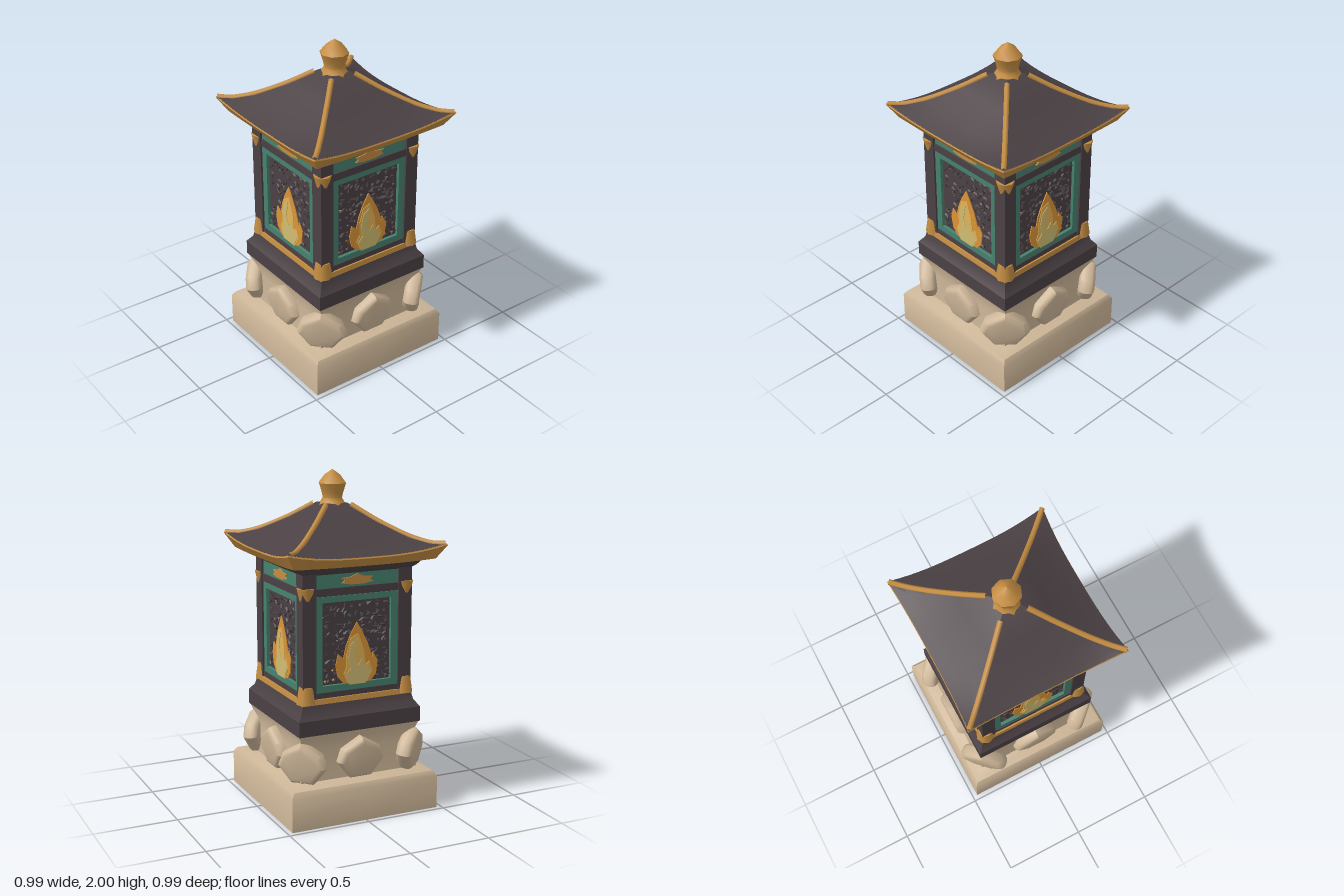
import * as THREE from 'three';
import { mergeGeometries, toCreasedNormals } from 'three/addons/utils/BufferGeometryUtils.js';

const mat = (name, color, side = THREE.FrontSide) => {
  const m = new THREE.MeshStandardMaterial({ color, side });
  m.name = name;
  return m;
};

export function createModel() {
  const stone = mat('stone', 0xcdb698);
  const dark = mat('dark wood', 0x4b4144, THREE.DoubleSide);
  const gold = mat('gold', 0xc48d42);
  const teal = mat('teal', 0x478270);
  const amber = mat('flame amber', 0xdc9538);
  const yellow = mat('flame yellow', 0xe3b55a);
  const pale = mat('flame pale', 0xd2bd72);

  const root = new THREE.Group();
  root.name = 'lantern';
  const add = (parent, name, geo, m, x = 0, y = 0, z = 0) => {
    const mesh = new THREE.Mesh(geo, m);
    mesh.name = name;
    mesh.position.set(x, y, z);
    parent.add(mesh);
    return mesh;
  };
  let seed = 7;
  const rnd = () => (seed = (seed * 16807) % 2147483647) / 2147483647;

  // Square loft; rows run bottom to top: [half width, y, corner flare, corner lift]
  const loft = (rows, n = 2, crease = 0.6) => {
    const sides = [];
    for (let k = 0; k < 4; k++) {
      const pos = [], idx = [];
      for (const [half, y, flare = 0, lift = 0] of rows) {
        for (let i = 0; i <= n; i++) {
          const u = (2 * i) / n - 1, c = Math.abs(u) ** 3, h = half + flare * c;
          pos.push(u * h, y + lift * c, h);
        }
      }
      for (let r = 0; r < rows.length - 1; r++) {
        for (let i = 0; i < n; i++) {
          const a = r * (n + 1) + i, d = a + n + 1;
          idx.push(a, a + 1, d + 1, a, d + 1, d);
        }
      }
      const g = new THREE.BufferGeometry();
      g.setAttribute('position', new THREE.Float32BufferAttribute(pos, 3));
      g.setIndex(idx);
      g.rotateY((k * Math.PI) / 2);
      g.computeVertexNormals();
      sides.push(g);
    }
    return toCreasedNormals(mergeGeometries(sides), crease);
  };
  const shapeOf = (pts) => new THREE.Shape(pts.map(([x, y]) => new THREE.Vector2(x, y)));
  const rect = (w, y0, y1) => [[-w, y0], [w, y0], [w, y1], [-w, y1]];
  const plate = (shape, depth) => new THREE.ExtrudeGeometry(shape, { depth, bevelEnabled: false });

  // Stone pedestal
  add(root, 'stoneBase', loft([[0, 0], [0.47, 0], [0.47, 0.2], [0.45, 0.23], [0.38, 0.25]]), stone);
  add(root, 'stoneNeck', loft([[0.38, 0.22], [0.365, 0.42], [0.37, 0.49], [0.385, 0.53], [0, 0.53]]), stone);

  // Eight bulging petals, on the sides and the corners
  const petalGeo = new THREE.ExtrudeGeometry(
    shapeOf([[-0.055, 0.03], [0.055, 0.03], [0.115, 0.11], [0.095, 0.16], [0, 0.215], [-0.095, 0.16], [-0.115, 0.11]]),
    { depth: 0.02, bevelEnabled: true, bevelThickness: 0.04, bevelSize: 0.03, bevelSegments: 3 });
  const petalSmooth = toCreasedNormals(petalGeo, 0.7);
  for (let k = 0; k < 8; k++) {
    const holder = new THREE.Group();
    holder.name = 'petalHolder';
    holder.rotation.y = (k * Math.PI) / 4;
    const p = add(holder, 'petal', petalSmooth, stone, 0, 0.245, k % 2 ? 0.47 : 0.35);
    p.rotation.x = 0.1;
    root.add(holder);
  }

  // Dark plinth and gold sill
  add(root, 'plinth', loft([[0, 0.53], [0.39, 0.53], [0.39, 0.62], [0.36, 0.66], [0.35, 0.7], [0, 0.7]]), dark);
  add(root, 'goldSill', loft([[0.3, 0.7], [0.355, 0.7], [0.35, 0.73], [0, 0.735]]), gold);

  // Upper beams and cornice
  add(root, 'topBeam', loft([[0, 1.31], [0.325, 1.31], [0.325, 1.45]]), dark);
  add(root, 'cornice', loft([[0.32, 1.44], [0.34, 1.45], [0.365, 1.47], [0.385, 1.495], [0, 1.5]]), dark);

  // Corner posts with gold fittings
  for (const sx of [-1, 1]) for (const sz of [-1, 1]) {
    add(root, 'post', new THREE.BoxGeometry(0.085, 0.73, 0.085), dark, sx * 0.304, 1.09, sz * 0.304);
    add(root, 'lowerFitting', new THREE.CylinderGeometry(0.042, 0.057, 0.1, 8), gold, sx * 0.315, 0.755, sz * 0.315);
    add(root, 'upperFitting', new THREE.CylinderGeometry(0.053, 0.036, 0.07, 8), gold, sx * 0.314, 1.34, sz * 0.314);
  }

  // Pierced lattice: rows of small jagged holes, mirrored left to right
  const latticeShape = shapeOf(rect(0.23, 0.79, 1.3));
  for (let r = 0; r < 9; r++) for (let c = 0; c < 4; c++) {
    const x = 0.032 + c * 0.052 + (rnd() - 0.5) * 0.018, y = 0.825 + r * 0.054 + (rnd() - 0.5) * 0.018;
    const turn = rnd() * 6.28, size = 0.009 + rnd() * 0.009;
    for (const s of [-1, 1]) {
      const hole = [0, 1, 2].map((i) => new THREE.Vector2(
        s * (x + size * Math.cos(turn + i * 2.1)), y + size * Math.sin(turn + i * 2.1)));
      latticeShape.holes.push(new THREE.Path(hole));
    }
  }
  const latticeGeo = plate(latticeShape, 0.012);

  // Small raised chips that roughen the lattice
  const chips = [];
  for (let i = 0; i < 110; i++) {
    const g = new THREE.TetrahedronGeometry(0.013 + rnd() * 0.008);
    g.scale(1.5, 0.6, 0.7).rotateZ(rnd() * 6.28);
    g.translate((rnd() - 0.5) * 0.42, 0.82 + rnd() * 0.45, 0.315);
    chips.push(g);
  }
  const chipGeo = mergeGeometries(chips);

  const frameShape = shapeOf(rect(0.268, 0.76, 1.32));
  frameShape.holes.push(new THREE.Path(rect(0.218, 0.8, 1.285).map(([x, y]) => new THREE.Vector2(x, y))));
  const frameGeo = plate(frameShape, 0.03);

  const flames = [
    ['flameOuter', amber, [[-0.07, 0.79], [0.08, 0.79], [0.125, 0.84], [0.135, 0.92], [0.105, 0.97], [0.1, 0.94],
      [0.07, 1.03], [0.035, 1.1], [0, 1.16], [-0.04, 1.09], [-0.07, 1.02], [-0.085, 0.95], [-0.12, 0.98], [-0.135, 0.91], [-0.12, 0.84]]],
    ['flameMiddle', yellow, [[-0.055, 0.79], [0.06, 0.79], [0.1, 0.86], [0.08, 0.92], [0.055, 0.9], [0.045, 0.99],
      [0.01, 1.09], [-0.04, 1.07], [-0.065, 0.98], [-0.065, 0.9], [-0.085, 0.86]]],
    ['flameHeart', pale, [[-0.05, 0.792], [0.055, 0.792], [0.09, 0.86], [0.05, 0.9], [0.03, 0.94], [0.005, 0.9],
      [-0.02, 0.96], [0, 1.06], [-0.04, 1.03], [-0.055, 0.95], [-0.04, 0.89], [-0.075, 0.85]]],
  ];
  const ornament = shapeOf([[-0.1, 1.39], [-0.04, 1.38], [0.04, 1.38], [0.1, 1.39], [0.08, 1.405], [0.1, 1.42],
    [0.04, 1.425], [0, 1.44], [-0.04, 1.425], [-0.1, 1.42], [-0.08, 1.405]]);

  // The same window panel on all four sides
  for (let k = 0; k < 4; k++) {
    const panel = new THREE.Group();
    panel.name = 'windowPanel';
    panel.rotation.y = (k * Math.PI) / 2;
    add(panel, 'lattice', latticeGeo, dark, 0, 0, 0.303);
    add(panel, 'latticeChips', chipGeo, dark);
    add(panel, 'windowFrame', frameGeo, teal, 0, 0, 0.305);
    add(panel, 'lowerRail', new THREE.BoxGeometry(0.54, 0.035, 0.05), dark, 0, 0.745, 0.315);
    add(panel, 'upperRail', new THREE.BoxGeometry(0.54, 0.045, 0.05), dark, 0, 1.345, 0.315);
    add(panel, 'frieze', plate(shapeOf(rect(0.268, 1.368, 1.447)), 0.008), teal, 0, 0, 0.324);
    add(panel, 'friezeOrnament', plate(ornament, 0.008), gold, 0, 0, 0.331);
    flames.forEach(([name, m, pts], i) => add(panel, name, plate(shapeOf(pts), 0.006), m, 0, 0, 0.326 + i * 0.003));
    root.add(panel);
  }

  // Curved roof with gold eaves and hip ridges
  add(root, 'eaves', loft([[0, 1.49], [0.38, 1.492], [0.44, 1.5, 0.005, 0.01], [0.475, 1.547, 0.02, 0.045],
    [0.47, 1.556, 0.018, 0.045]], 16), gold);
  add(root, 'roof', loft([[0.472, 1.555, 0.02, 0.045], [0.42, 1.578, 0.01, 0.022], [0.34, 1.622, 0, 0.006],
    [0.2, 1.71], [0.07, 1.805], [0, 1.81]], 16), dark);
  const hip = new THREE.CatmullRomCurve3([[0.08, 1.798], [0.2, 1.708], [0.34, 1.626], [0.43, 1.597], [0.487, 1.598]]
    .map(([h, y]) => new THREE.Vector3(h, y, h)));
  for (let k = 0; k < 4; k++) {
    const ridge = add(root, 'hipRidge', new THREE.TubeGeometry(hip, 16, 0.017, 6), gold);
    ridge.rotation.y = (k * Math.PI) / 2;
  }

  // Finial
  const finial = [[0, 1.78], [0.09, 1.785], [0.072, 1.815], [0.06, 1.835], [0.068, 1.87], [0.085, 1.92], [0.05, 1.965], [0, 2]];
  add(root, 'finial', toCreasedNormals(
    new THREE.LatheGeometry(finial.map(([x, y]) => new THREE.Vector2(x, y)), 8), 0.8), gold);

  return root;
}
